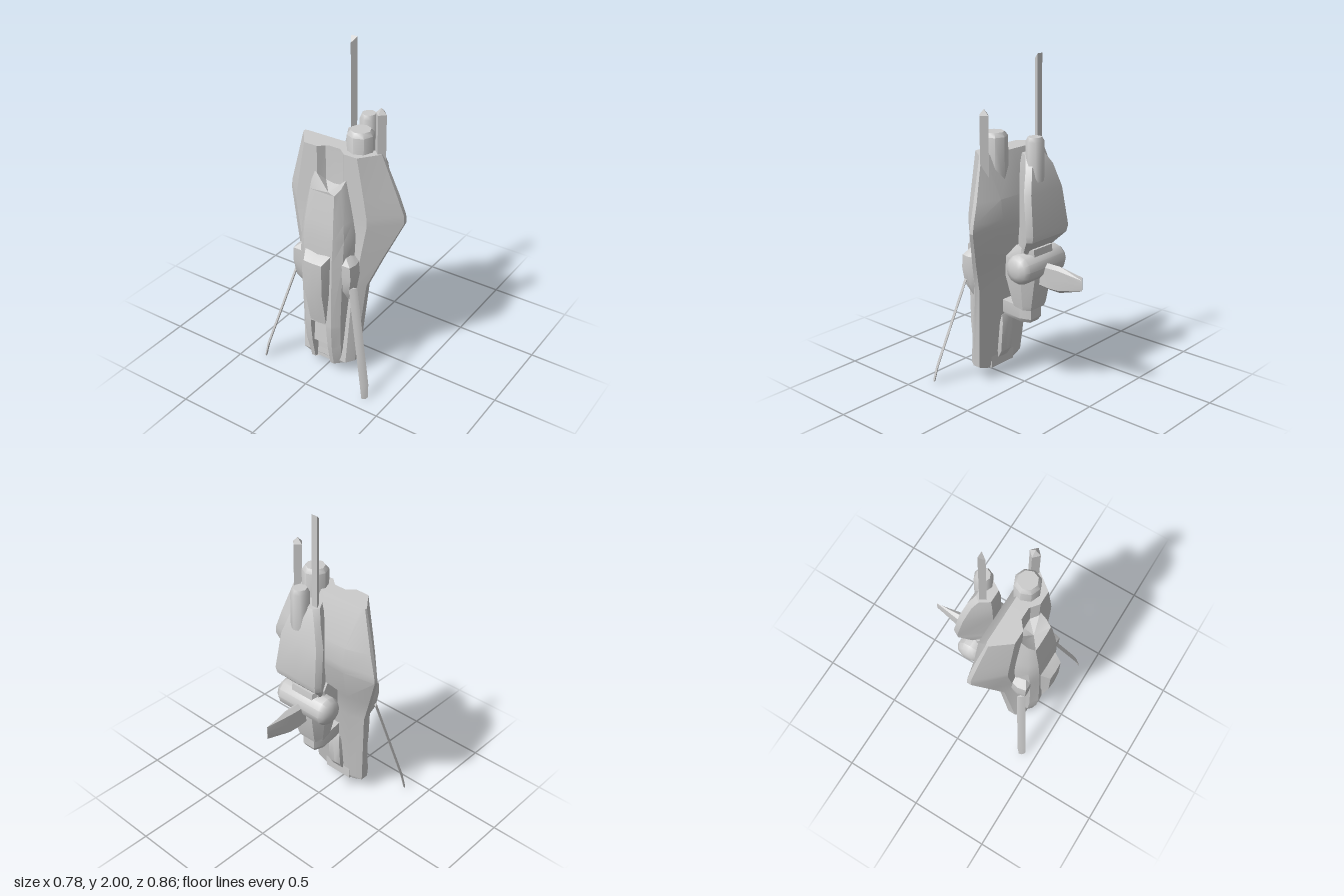
import * as THREE from 'three';
import { toCreasedNormals } from 'three/addons/utils/BufferGeometryUtils.js';

const material = new THREE.MeshStandardMaterial({ color: 0xcccccc });

// Skin closed rings of [x, y, z] points, listed from bottom to top
function loft(rings, crease = 0.5, capTop = null) {
  const pos = [], n = rings[0].length;
  const tri = (a, b, c) => pos.push(...a, ...b, ...c);
  const mid = (ring) => [0, 1, 2].map((k) => ring.reduce((s, p) => s + p[k], 0) / n);
  for (let r = 0; r < rings.length - 1; r++) {
    for (let i = 0; i < n; i++) {
      const j = (i + 1) % n, lo = rings[r], hi = rings[r + 1];
      tri(lo[i], hi[i], lo[j]);
      tri(lo[j], hi[i], hi[j]);
    }
  }
  const bottom = rings[0], top = rings[rings.length - 1];
  const cb = mid(bottom), ct = capTop || mid(top);
  for (let i = 0; i < n; i++) {
    const j = (i + 1) % n;
    tri(bottom[i], bottom[j], cb);
    tri(top[j], top[i], ct);
  }
  const g = new THREE.BufferGeometry();
  g.setAttribute('position', new THREE.Float32BufferAttribute(pos, 3));
  return toCreasedNormals(g, crease);
}

// Symmetric ring from its +x half, back to front; each point is [x, z, optional y]
function ring(y, half) {
  const right = half.map(([x, z, py = y]) => [x, py, z]);
  const left = right.filter((p) => p[0] > 0).reverse().map(([x, py, z]) => [-x, py, z]);
  return [...right, ...left];
}

export function createModel() {
  const model = new THREE.Group();
  const add = (name, geometry, x = 0, y = 0, z = 0) => {
    const m = new THREE.Mesh(geometry, material);
    m.name = name;
    m.position.set(x, y, z);
    model.add(m);
    return m;
  };

  // Broad shield-shaped hull with a groove down the upper front
  // y, back width, back z, edge width, edge back z, edge front z, front width, front z, groove depth
  const hullRows = [
    [0.07, 0.09, 0.19, 0.125, 0.2, 0.25, 0.11, 0.29, 0],
    [0.095, 0.1, 0.185, 0.185, 0.2, 0.25, 0.15, 0.3, 0],
    [0.62, 0.12, 0.13, 0.225, 0.155, 0.19, 0.17, 0.25, 0],
    [0.8, 0.15, 0.075, 0.295, 0.11, 0.14, 0.2, 0.225, 0],
    [1.03, 0.19, 0, 0.39, 0.04, 0.065, 0.24, 0.218, 0.02],
    [1.08, 0.19, -0.005, 0.385, 0.038, 0.062, 0.24, 0.218, 0.03],
    [1.2, 0.2, 0, 0.345, 0.05, 0.075, 0.22, 0.218, 0.042],
    [1.445, 0.24, 0.085, 0.262, 0.09, 0.105, 0.175, 0.218, 0.042],
  ];
  add('hull', loft(hullRows.map(([y, bw, zb, w, z1, z2, fw, zf, d]) =>
    ring(y, [[0, zb], [bw, zb], [w, z1], [w, z2], [fw, zf], [0.09, zf], [0.06, zf - d], [0, zf - d]])), 0.35));

  // Front fuselage: y, width, side z, shoulder width, shoulder z, front width, front z, recess depth
  const bodyRows = [
    [0.07, 0.12, 0.24, 0.11, 0.29, 0.08, 0.32, 0.02],
    [0.19, 0.13, 0.25, 0.125, 0.31, 0.083, 0.343, 0.05],
    [0.21, 0.13, 0.25, 0.125, 0.31, 0.085, 0.346, 0.012],
    [0.35, 0.14, 0.24, 0.13, 0.32, 0.09, 0.36, 0.04],
    [0.37, 0.14, 0.24, 0.13, 0.32, 0.09, 0.36, 0],
    [0.8, 0.165, 0.22, 0.145, 0.315, 0.095, 0.352, 0],
    [0.95, 0.17, 0.22, 0.145, 0.3, 0.1, 0.345, 0],
    [1.05, 0.155, 0.22, 0.135, 0.29, 0.095, 0.333, 0],
  ];
  const bodyRings = bodyRows.map(([y, w, zs, mw, mz, fw, zf, d]) =>
    ring(y, [[0, 0.18], [w * 0.8, 0.18], [w, zs], [mw, mz], [fw, zf], [0.055, zf], [0.05, zf - d], [0, zf - d]]));
  // Slanted scoop mouth with raised side rails
  bodyRings.push(ring(1.22, [[0, 0.17], [0.065, 0.17, 1.23], [0.105, 0.215, 1.29], [0.1, 0.26, 1.25],
    [0.082, 0.3], [0.055, 0.302], [0.045, 0.302], [0, 0.302]]));
  add('frontFuselage', loft(bodyRings, 0.5, [0, 1.19, 0.24]));

  // Tapering canopy with a sloped upper ledge
  add('canopy', loft([
    ring(0.37, [[0, 0.3], [0.06, 0.3], [0.055, 0.358], [0, 0.36]]),
    ring(0.6, [[0, 0.3], [0.09, 0.32], [0.06, 0.403], [0, 0.408]]),
    ring(0.81, [[0, 0.3, 0.86], [0.09, 0.34, 0.86], [0.06, 0.405], [0, 0.408]]),
  ]));

  // Backpack upper shell: y, back width, back z, side width, side z, front width, front z
  const packRing = ([y, bw, zb, sw, sz, fw, zf]) =>
    ring(y, [[0, zb], [bw, zb], [sw, sz], [fw, zf], [0, zf]]);
  add('backpackUpper', loft([
    [0.86, 0.09, -0.11, 0.1, -0.1, 0.06, 0],
    [0.89, 0.11, -0.115, 0.12, -0.1, 0.055, 0],
    [0.97, 0.15, -0.19, 0.168, -0.16, 0.05, 0],
    [1.01, 0.155, -0.2, 0.175, -0.165, 0.045, 0],
    [1.24, 0.135, -0.167, 0.155, -0.13, 0.045, 0],
    [1.38, 0.09, -0.135, 0.105, -0.1, 0.045, -0.005],
    [1.445, 0.05, -0.105, 0.075, -0.07, 0.04, -0.015],
  ].map(packRing)));

  // Backpack lower block
  add('backpackLower', loft([
    [0.51, 0.06, -0.1, 0.085, -0.06, 0.065, 0.025],
    [0.54, 0.065, -0.11, 0.09, -0.06, 0.07, 0.035],
    [0.7, 0.075, -0.14, 0.115, -0.07, 0.085, 0.075],
    [0.82, 0.08, -0.15, 0.12, -0.07, 0.085, 0.07],
    [0.9, 0.08, -0.14, 0.11, -0.07, 0.07, 0.0],
  ].map(packRing)));

  // Chamfered nozzle beneath the backpack
  add('nozzle', loft([
    [0.42, 0.035, -0.075, 0.055, -0.02, 0.04, 0.115],
    [0.445, 0.045, -0.09, 0.07, -0.02, 0.05, 0.13],
    [0.52, 0.045, -0.09, 0.07, -0.02, 0.05, 0.13],
  ].map(packRing)));

  // Cross barrel with domed ends
  const barrel = new THREE.LatheGeometry([[0, -0.2], [0.035, -0.198], [0.07, -0.183], [0.088, -0.155],
    [0.088, 0.155], [0.07, 0.183], [0.035, 0.198], [0, 0.2]].map((p) => new THREE.Vector2(...p)), 12);
  add('crossBarrel', toCreasedNormals(barrel, 0.7), 0, 0.79, -0.093).rotation.z = Math.PI / 2;

  // Rear tail blade, narrowing to a vertical edge
  const tail = [[-0.43, 0.003, 0.7, 0.785], [-0.27, 0.024, 0.65, 0.81], [-0.2, 0.028, 0.65, 0.81], [-0.1, 0.028, 0.66, 0.81]];
  add('tailBlade', loft(tail.map(([z, w, lo, hi]) => {
    const m = (lo + hi) / 2;
    return [[0, hi, z], [w, hi - 0.02, z], [w, m, z], [w, lo + 0.02, z],
      [0, lo, z], [-w, lo + 0.02, z], [-w, m, z], [-w, hi - 0.02, z]].reverse();
  }).map((r) => r.reverse()), 0.6));

  // Capped tubes on top
  const capped = (name, r, base, top, x, z) => {
    const pts = [[0, base], [r, base], [r, top - 0.025], [r * 0.75, top], [0, top]];
    const g = new THREE.LatheGeometry(pts.map((p) => new THREE.Vector2(...p)), 8);
    add(name, toCreasedNormals(g, 0.9), x, 0, z);
  };
  capped('hullTube', 0.078, 1.25, 1.565, 0.13, 0.112);
  capped('backpackTube', 0.054, 1.3, 1.55, 0.038, -0.11);

  // Four-sided mast with pointed tip
  const mast = new THREE.LatheGeometry([[0, 1.15], [0.034, 1.15], [0.034, 1.675], [0, 1.71]]
    .map((p) => new THREE.Vector2(...p)), 4);
  add('mast', toCreasedNormals(mast, 0.4), 0.242, 0, 0.085);

  // Tall three-sided antenna with a slanted tip
  const antenna = (yb, yf) => [[-0.02, yb, -0.077], [-0.04, yf, -0.042], [-0.06, yb, -0.077]];
  add('antenna', loft([antenna(1.35, 1.35), antenna(2, 1.97)]));

  // Rounded hatch on the lower back
  add('rearHatch', loft([
    ring(0.12, [[0, 0.18], [0.04, 0.18], [0.045, 0.24]]),
    ring(0.17, [[0, 0.145], [0.045, 0.15], [0.055, 0.24]]),
    ring(0.36, [[0, 0.13], [0.045, 0.135], [0.055, 0.24]]),
    ring(0.41, [[0, 0.145], [0.035, 0.15], [0.045, 0.24]]),
  ]));

  // Mirrored side pods and their splayed blades
  for (const s of [1, -1]) {
    const side = s > 0 ? 'left' : 'right';
    const pod = [[0.55, 0.16, 0.165, 0.24, 0.27], [0.62, 0.185, 0.195, 0.225, 0.31], [0.72, 0.2, 0.21, 0.22, 0.318],
      [0.8, 0.195, 0.205, 0.22, 0.318], [0.84, 0.15, 0.16, 0.22, 0.29]];
    add(side + 'Pod', loft(pod.map(([y, xi, xo, zb, zf]) =>
      [[0.12, y, zb], [xi, y, zb], [xo, y, (zb + zf) / 2], [xi, y, zf], [0.12, y, zf]]))).scale.x = s;
    // Blade cross-section: wide across, thin along its lean
    const blade = (y, x, z, w, drop) => [[0.6, -0.8, 0], [0.22, 0.05, drop], [-0.6, 0.8, 0], [-0.35, -0.2, drop]]
      .map(([dx, dz, dy]) => [x + dx * w, y + dy, z + dz * w]);
    add(side + 'Blade', loft([blade(0.01, 0.365, 0.415, 0.021, -0.008), blade(0.09, 0.352, 0.402, 0.026, 0),
      blade(0.65, 0.2, 0.292, 0.026, 0)], 0.8)).scale.x = s;
  }
  return model;
}
